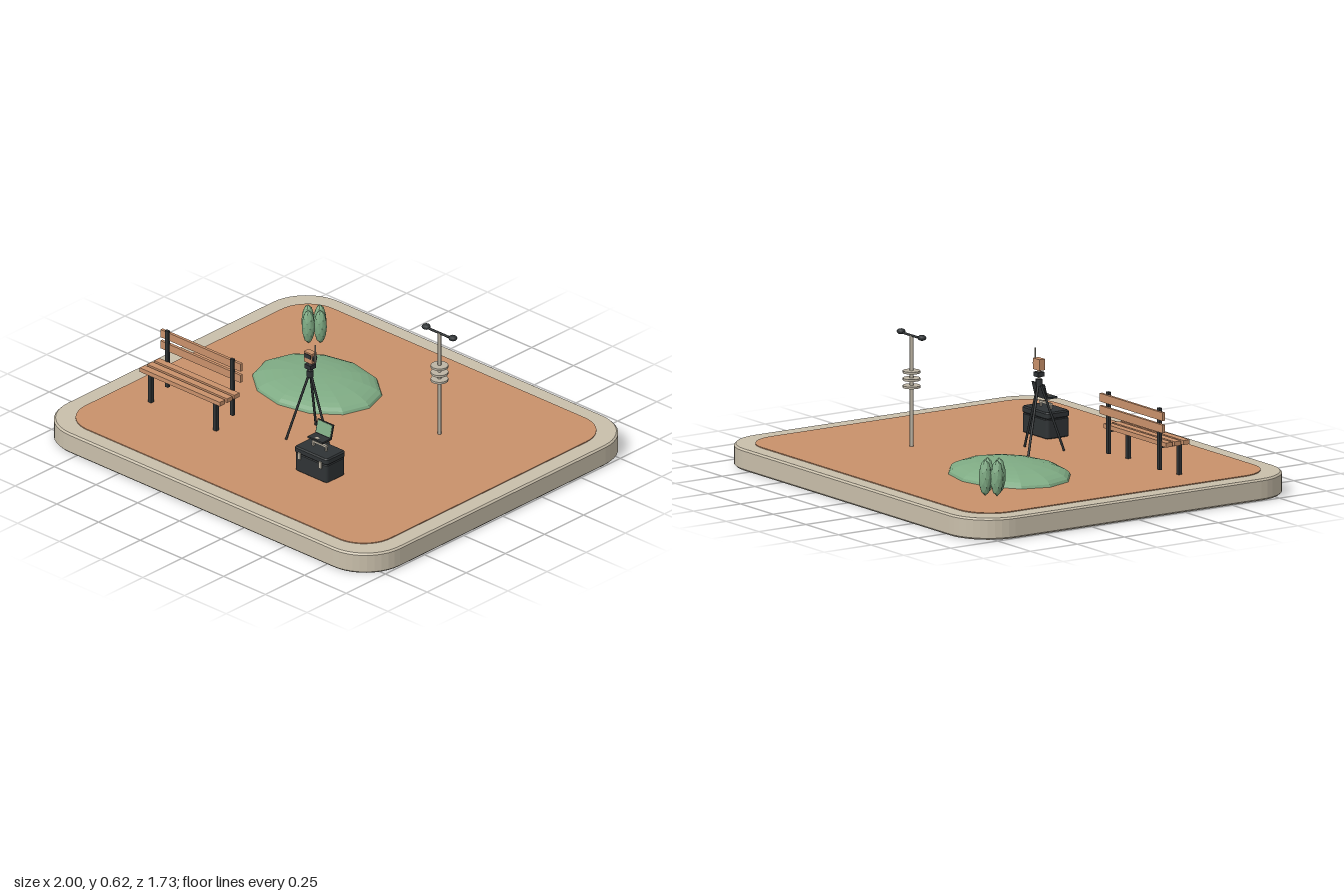
import * as THREE from 'three';

const mat = (name, color, flatShading = false) => {
  const m = new THREE.MeshStandardMaterial({ color, flatShading });
  m.name = name;
  return m;
};

export function createModel() {
  const stone = mat('stone', 0xc9bfab);
  const clay = mat('clay', 0xc9916b);
  const green = mat('green', 0x7fab84, true);
  const dark = mat('dark', 0x2f3335);
  const steel = mat('steel', 0xbdb5a5);
  const model = new THREE.Group();
  model.name = 'parkDiorama';

  const group = (name, x = 0, y = 0, z = 0) => {
    const g = new THREE.Group();
    g.name = name;
    g.position.set(x, y, z);
    model.add(g);
    return g;
  };
  const add = (parent, name, geo, material, x = 0, y = 0, z = 0) => {
    const m = new THREE.Mesh(geo, material);
    m.name = name;
    m.position.set(x, y, z);
    parent.add(m);
    return m;
  };
  const box = (p, name, w, h, d, material, x, y, z) =>
    add(p, name, new THREE.BoxGeometry(w, h, d), material, x, y, z);
  // Round bar between two points
  const rod = (p, name, a, b, r, material) => {
    const va = new THREE.Vector3(...a), dir = new THREE.Vector3(...b).sub(va);
    const m = add(p, name, new THREE.CylinderGeometry(r, r, dir.length(), 8), material);
    m.position.copy(va).addScaledVector(dir, 0.5);
    m.quaternion.setFromUnitVectors(new THREE.Vector3(0, 1, 0), dir.normalize());
    return m;
  };
  // Rounded rectangle slab with a bevelled rim, lying in the xz plane
  const slab = (hx, hz, r, y0, y1, bevel) => {
    const x = hx - bevel, z = hz - bevel, s = new THREE.Shape();
    s.moveTo(-x + r, -z);
    s.lineTo(x - r, -z);
    s.absarc(x - r, -z + r, r, -Math.PI / 2, 0);
    s.absarc(x - r, z - r, r, 0, Math.PI / 2);
    s.absarc(-x + r, z - r, r, Math.PI / 2, Math.PI);
    s.absarc(-x + r, -z + r, r, Math.PI, Math.PI * 1.5);
    const g = new THREE.ExtrudeGeometry(s, {
      depth: y1 - y0 - 2 * bevel, curveSegments: 5, bevelEnabled: bevel > 0,
      bevelSize: bevel, bevelThickness: bevel, bevelSegments: 1,
    });
    return g.rotateX(-Math.PI / 2).translate(0, y0 + bevel, 0);
  };

  // Ground
  add(model, 'base', slab(1, 0.863, 0.2, 0, 0.097, 0.008), stone);
  add(model, 'clayGround', slab(0.915, 0.785, 0.16, 0.09, 0.101, 0), clay);

  // Grassy mound
  const mound = add(model, 'grassMound',
    new THREE.SphereGeometry(1, 12, 8, 0, Math.PI * 2, 0, Math.PI / 2), green, -0.305, 0.1, -0.205);
  mound.scale.set(0.315, 0.065, 0.25);

  // Cluster of four upright shrubs
  const shrubs = group('shrubs', -0.605, 0.185, -0.505);
  for (let i = 0; i < 4; i++) {
    const a = i * Math.PI / 2;
    const s = add(shrubs, 'shrub', new THREE.IcosahedronGeometry(1, 1), green,
      Math.cos(a) * 0.037, 0, Math.sin(a) * 0.037);
    s.scale.set(0.029, 0.081, 0.029);
  }

  // Bench
  const bench = group('bench', -0.534, 0, 0);
  for (const z of [0.32, 0.366, 0.412]) box(bench, 'seatSlat', 0.48, 0.02, 0.034, clay, 0, 0.252, z);
  for (const y of [0.327, 0.382]) box(bench, 'backSlat', 0.48, 0.037, 0.014, clay, 0, y, 0.29);
  for (const x of [-0.195, 0.195]) {
    box(bench, 'backPost', 0.018, 0.277, 0.014, dark, x, 0.274, 0.3);
    box(bench, 'frontLeg', 0.018, 0.143, 0.018, dark, x, 0.171, 0.405);
    box(bench, 'seatRail', 0.016, 0.01, 0.11, dark, x, 0.238, 0.355);
  }

  // Equipment case
  const caseGroup = group('equipmentCase', 0.265, 0.1, 0.385);
  add(caseGroup, 'caseBody', slab(0.097, 0.06, 0.01, 0, 0.09, 0.005), dark);
  add(caseGroup, 'caseLid', slab(0.099, 0.062, 0.01, 0.088, 0.12, 0.006), dark);
  for (const x of [-0.063, 0.063]) box(caseGroup, 'clasp', 0.013, 0.032, 0.008, steel, x, 0.083, 0.064);
  for (const x of [-0.038, 0.038]) box(caseGroup, 'handlePost', 0.008, 0.026, 0.01, steel, x, 0.13, 0);
  box(caseGroup, 'handleGrip', 0.084, 0.009, 0.012, steel, 0, 0.142, 0);

  // Open laptop above the case
  const laptop = group('laptop', 0.265, 0.27, 0.362);
  box(laptop, 'keyboardBase', 0.09, 0.008, 0.055, dark, 0, 0, 0.026);
  box(laptop, 'touchpad', 0.02, 0.002, 0.014, steel, 0, 0.005, 0.04);
  const lid = new THREE.Group();
  lid.name = 'laptopLid';
  lid.rotation.x = -0.25;
  laptop.add(lid);
  box(lid, 'screenFrame', 0.094, 0.066, 0.006, dark, 0, 0.034, 0);
  box(lid, 'screen', 0.084, 0.056, 0.002, green, 0, 0.035, 0.004);

  // Tripod with instrument
  const tripod = group('tripod', 0, 0, 0.165);
  for (let i = 0; i < 3; i++) {
    const a = i * Math.PI * 2 / 3, c = Math.cos(a), s = Math.sin(a);
    rod(tripod, 'tripodLeg', [c * 0.11, 0.102, s * 0.11], [c * 0.006, 0.405, s * 0.006], 0.0055, dark);
  }
  rod(tripod, 'tripodHub', [0, 0.395, 0], [0, 0.425, 0], 0.015, dark);
  rod(tripod, 'centreColumn', [0, 0.42, 0], [0, 0.47, 0], 0.006, steel);
  box(tripod, 'mountPlate', 0.036, 0.02, 0.036, dark, 0, 0.447, 0);
  box(tripod, 'instrumentBody', 0.048, 0.05, 0.03, clay, 0, 0.492, 0);
  box(tripod, 'instrumentDisplay', 0.036, 0.02, 0.004, dark, 0, 0.5, 0.016);
  rod(tripod, 'instrumentDial', [0.022, 0.493, 0], [0.03, 0.493, 0], 0.014, dark);
  rod(tripod, 'antenna', [0.03, 0.47, 0], [0.03, 0.56, 0], 0.003, steel);

  // Weather mast
  const mast = group('weatherMast', 0.398, 0, -0.237);
  rod(mast, 'pole', [0, 0.1, 0], [0, 0.6, 0], 0.008, steel);
  for (const y of [0.37, 0.403, 0.436]) {
    add(mast, 'shieldPlate', new THREE.CylinderGeometry(0.039, 0.039, 0.01, 16), steel, 0, y, 0);
  }
  rod(mast, 'crossArm', [-0.08, 0.598, 0], [0.08, 0.598, 0], 0.0055, dark);
  for (const x of [-0.08, 0.08]) {
    const cup = add(mast, 'windCup', new THREE.SphereGeometry(0.02, 8, 6), dark, x, 0.602, 0);
    cup.scale.y = 0.65;
  }
  return model;
}
